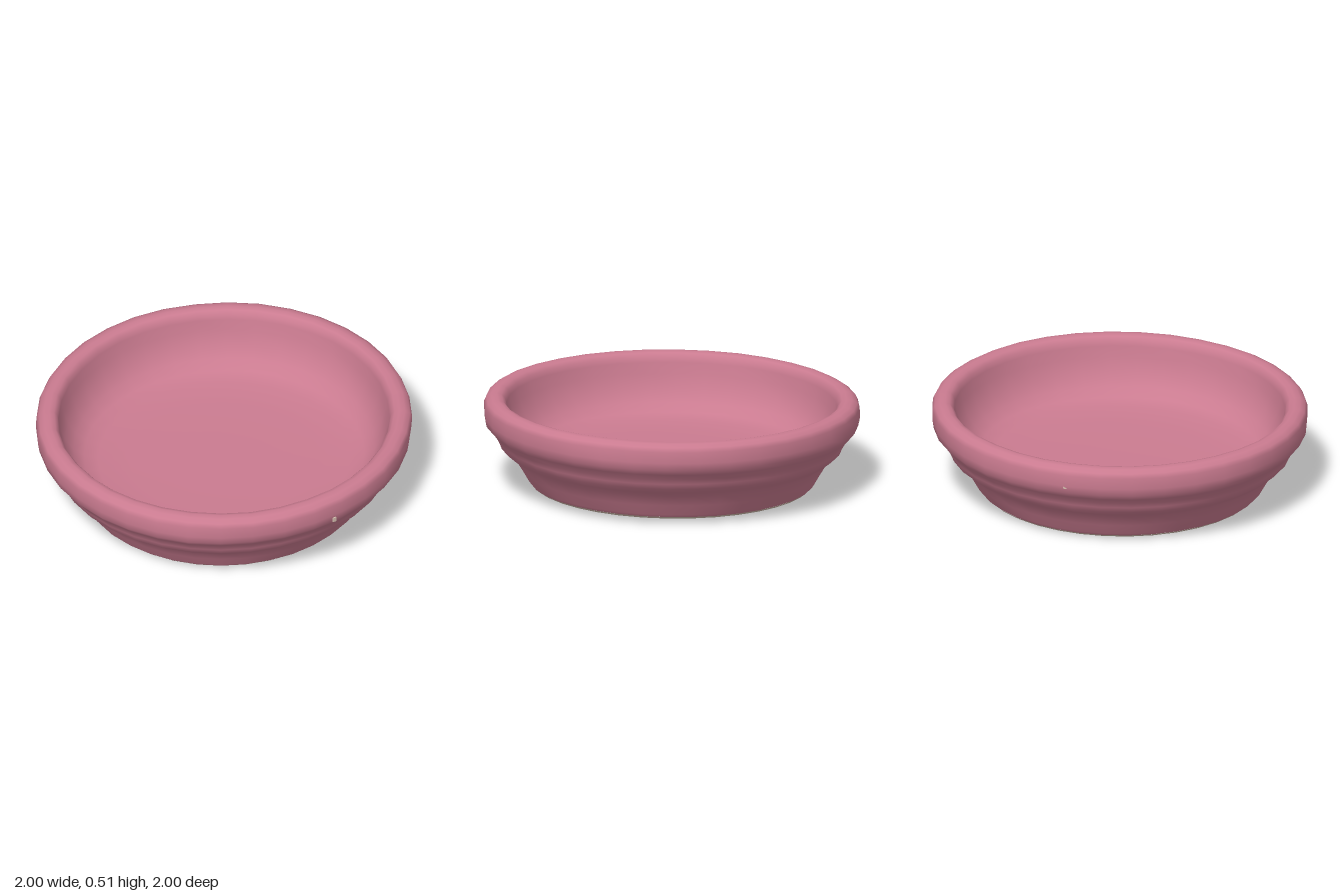
import * as THREE from 'three';
import { mergeVertices } from 'three/addons/utils/BufferGeometryUtils.js';

const SEGMENTS = 36;
const TILT = 0.0165; // the dish leans slightly up towards +x

// Hand-thrown unevenness
function deform(geometry, wobble) {
  const p = geometry.attributes.position;
  for (let i = 0; i < p.count; i++) {
    const x = p.getX(i), y = p.getY(i), z = p.getZ(i);
    const a = Math.atan2(z, x);
    const s = 1 + wobble * (Math.sin(5 * a + y * 14) + 0.7 * Math.sin(9 * a - y * 23) + 0.6 * Math.sin(13 * a + y * 31));
    p.setXYZ(i, x * s, y + TILT * x, z * s);
  }
}

// Revolved surface with smooth normals and a closed seam
function turned(name, profile, material, wobble = 0) {
  const lathe = new THREE.LatheGeometry(profile.map(([r, y]) => new THREE.Vector2(r, y)), SEGMENTS);
  lathe.deleteAttribute('uv');
  lathe.deleteAttribute('normal');
  const geometry = mergeVertices(lathe, 1e-4);
  deform(geometry, wobble);
  geometry.computeVertexNormals();
  const mesh = new THREE.Mesh(geometry, material);
  mesh.name = name;
  return mesh;
}

export function createModel() {
  const glaze = new THREE.MeshStandardMaterial({ color: 0xca7b90 });
  glaze.name = 'pink glaze';
  const clay = new THREE.MeshStandardMaterial({ color: 0xd4beae });
  clay.name = 'bare clay';

  const dish = new THREE.Group();
  dish.name = 'dish';

  // Recessed glazed underside
  dish.add(turned('underside', [[0, 0.055], [0.3, 0.053], [0.5, 0.046], [0.58, 0.034], [0.615, 0.016]], glaze));

  // Unglazed foot ring
  dish.add(turned('footRing', [[0.615, 0.016], [0.65, 0.012], [0.715, 0.012], [0.742, 0.018], [0.756, 0.03]], clay));

  // Stepped outer wall, rounded rim, inner wall and floor
  dish.add(turned('body', [
    [0.756, 0.03], [0.768, 0.045], [0.802, 0.105], [0.838, 0.165], [0.875, 0.195],
    [0.91, 0.225], [0.922, 0.255], [0.938, 0.285], [0.966, 0.318], [0.992, 0.35],
    [0.998, 0.39], [0.998, 0.45], [0.986, 0.474], [0.96, 0.489], [0.93, 0.493],
    [0.905, 0.486], [0.888, 0.468], [0.88, 0.44], [0.868, 0.38], [0.843, 0.305], [0.8, 0.24],
    [0.745, 0.2], [0.67, 0.178], [0.5, 0.168], [0.25, 0.165], [0, 0.164],
  ], glaze, 0.0014));

  // Small chips in the glaze around the rim: [angle, height, width, tall]
  for (const [angle, y, w, h] of [[0.65, 0.36, 0.02, 0.026], [-2.46, 0.39, 0.018, 0.03]]) {
    const chip = new THREE.Mesh(new THREE.BoxGeometry(w, h, 0.009), clay);
    chip.name = 'glazeChip';
    chip.position.set(0.993 * Math.sin(angle), y + TILT * Math.sin(angle), 0.993 * Math.cos(angle));
    chip.rotation.y = angle;
    dish.add(chip);
  }

  return dish;
}
